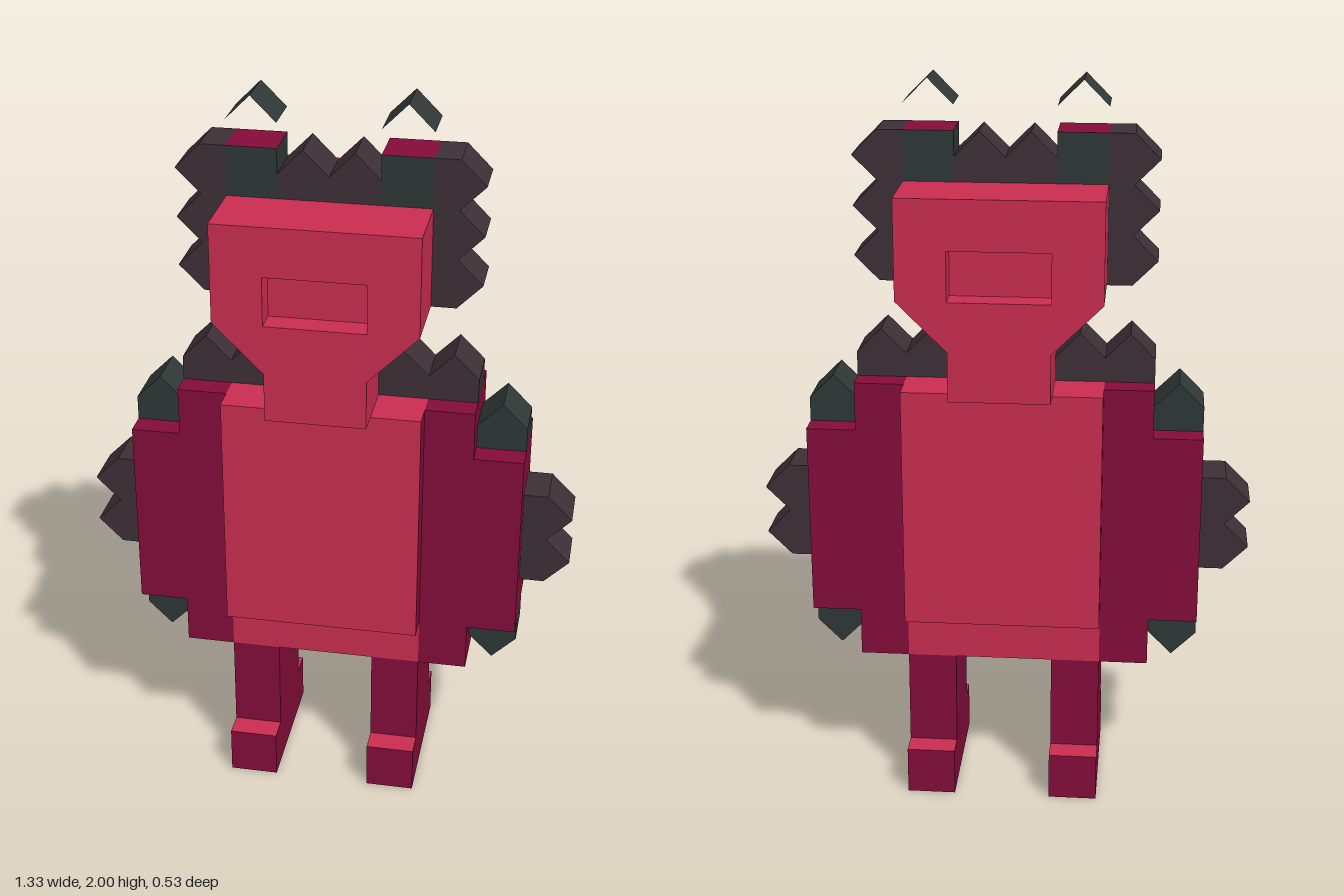
import * as THREE from 'three';

const U = 2 / 15; // one block of the design grid

const paint = (name, color) => {
  const m = new THREE.MeshStandardMaterial({ color });
  m.name = name;
  return m;
};

export function createModel() {
  const pink = paint('rose red', 0xcb2d52);
  const crimson = paint('deep crimson', 0x850d3a);
  const slate = paint('dark slate', 0x2f3838);
  const umber = paint('dark umber', 0x3d3037);

  const model = new THREE.Group();
  model.name = 'blockFigure';

  const add = (name, geometry, material, parent = model) => {
    const mesh = new THREE.Mesh(geometry, material);
    mesh.name = name;
    parent.add(mesh);
    return mesh;
  };

  // Box from its grid limits
  const box = (name, [x0, x1], [y0, y1], [z0, z1], material) => {
    const g = new THREE.BoxGeometry(Math.abs(x1 - x0) * U, (y1 - y0) * U, (z1 - z0) * U);
    g.translate((x0 + x1) / 2 * U, (y0 + y1) / 2 * U, (z0 + z1) / 2 * U);
    return add(name, g, material);
  };

  // Outline extruded along z, coloured by a rule on each triangle's normal
  const prism = (name, points, z0, z1, material, rule, hole) => {
    const toVec = ([x, y]) => new THREE.Vector2(x * U, y * U);
    const shape = new THREE.Shape(points.map(toVec));
    if (hole) shape.holes.push(new THREE.Path(hole.map(toVec)));
    const g = new THREE.ExtrudeGeometry(shape, { depth: (z1 - z0) * U, bevelEnabled: false });
    g.translate(0, 0, z0 * U);
    if (!rule) return add(name, g, material);
    const normal = g.attributes.normal;
    g.clearGroups();
    for (let i = 0; i < normal.count; i += 3) {
      g.addGroup(i, 3, rule(normal.getX(i), normal.getY(i)) ? 1 : 0);
    }
    return add(name, g, [material, crimson]);
  };
  const spike = (name, points, material, rule) => prism(name, points, -0.5, 0.5, material, rule);

  // Head: solid core with a slotted plate on the front and back
  const headOutline = [[-1, 9], [1, 9], [1, 10], [2, 11], [2, 13], [-2, 13], [-2, 11], [-1, 10]];
  const slot = [[-1, 11], [-1, 12], [1, 12], [1, 11]];
  const slope = (nx, ny) => ny < -0.1 && Math.abs(nx) > 0.1;
  prism('headCore', headOutline, -1.5, 1.5, pink, slope);
  prism('headFrontPlate', headOutline, 1.5, 2, pink, slope, slot);
  prism('headBackPlate', headOutline, -2, -1.5, pink, slope, slot);

  // Torso: pelvis block, chest slabs with crimson sides
  box('pelvis', [-2, 2], [3, 4], [-1, 1], pink);
  box('chest', [-2, 2], [4, 9], [-1.5, 1.5], [crimson, crimson, pink, crimson, pink, pink]);

  // Middle pair of crest teeth
  spike('crownTeeth', [[-1, 13], [1, 13], [1, 13.5], [0.5, 14], [0, 13.5], [-0.5, 14], [-1, 13.5]], umber);

  for (const [side, s] of [['left', 1], ['right', -1]]) {
    const flip = (pts) => pts.map(([x, y]) => [x * s, y]);

    // Arms, stepped outwards
    box(side + 'InnerArm', [2 * s, 3 * s], [3, 9], [-1, 1], crimson);
    box(side + 'OuterArm', [3 * s, 4 * s], [4, 8], [-1, 1], crimson);

    // Leg, foot and the pink tops of the foot
    box(side + 'Leg', [s, 2 * s], [1, 3], [-1, 1], crimson);
    box(side + 'Foot', [s, 2 * s], [0, 1], [-1.5, 1.5],
      [crimson, crimson, pink, crimson, crimson, crimson]);

    // Toothed crest down the side of the head, crimson beneath each tooth
    spike(side + 'HeadTeeth', flip([[2, 11], [2.5, 11], [3, 11.5], [2.5, 12], [3, 12.5],
      [2.5, 13], [3, 13.5], [2.5, 14], [2, 14]]), umber, (nx, ny) => ny < -0.1);

    // Horn block with a crimson top, and its floating roof
    box(side + 'Horn', [s, 2 * s], [13, 14], [-0.5, 0.5],
      [slate, slate, crimson, slate, slate, slate]);
    for (const tilt of [-1, 1]) {
      const roof = new THREE.PlaneGeometry(Math.SQRT1_2 * U, U);
      roof.rotateX(-Math.PI / 2);
      roof.rotateZ(-tilt * Math.PI / 4);
      roof.translate((1.5 * s + 0.25 * tilt) * U, 14.75 * U, 0);
      add(side + 'HornRoof', roof, slate);
    }

    // Teeth around the body
    spike(side + 'ShoulderTeeth', flip([[1, 9], [3, 9], [3, 9.5], [2.5, 10], [2, 9.5],
      [1.5, 10], [1, 9.5]]), umber);
    spike(side + 'UpperArmTooth', flip([[3, 8], [4, 8], [4, 8.5], [3.5, 9], [3, 8.5]]), slate);
    spike(side + 'LowerArmTooth', flip([[3, 4], [4, 4], [4, 3.5], [3.5, 3], [3, 3.5]]), slate);
    spike(side + 'SideTeeth', flip([[4, 5], [4.5, 5], [5, 5.5], [4.5, 6], [5, 6.5],
      [4.5, 7], [4, 7]]), umber);
  }

  return model;
}
